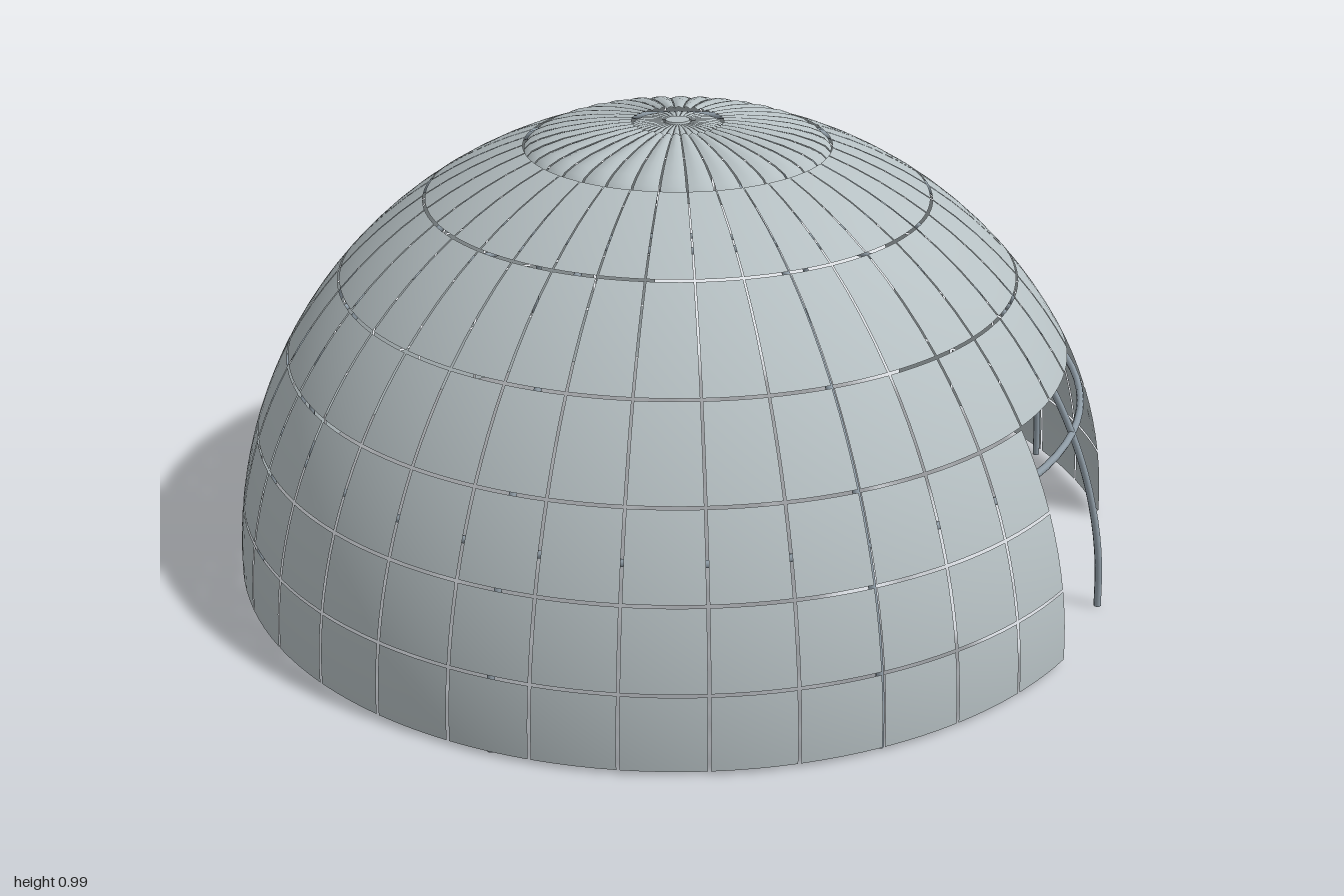
import * as THREE from 'three';
import { mergeGeometries } from 'three/addons/utils/BufferGeometryUtils.js';

const DEG = Math.PI / 180;
const COUNT = 36;      // panels around the dome
const GAP = 0.006;     // open seam between panels, in radians
const FRAME_R = 0.985; // radius of the supporting frame

export function createModel() {
  const model = new THREE.Group();
  const panelMat = new THREE.MeshStandardMaterial({ color: 0xb6c0c3, side: THREE.DoubleSide });
  panelMat.name = 'pale grey panel';
  const frameMat = new THREE.MeshStandardMaterial({ color: 0x8f9ca6 });
  frameMat.name = 'blue grey frame';

  const add = (name, geometry, material) => {
    const mesh = new THREE.Mesh(geometry, material);
    mesh.name = name;
    model.add(mesh);
    return mesh;
  };

  // Azimuth runs from the front (+z) towards the model's left (+x)
  const inOpening = (deg) => (deg >= 30 && deg < 70) || (deg >= 120 && deg < 160);

  // Curved shell panels, one mesh per horizontal band
  const heights = [0.008, 1 / 6, 1 / 3, 1 / 2, 2 / 3, 5 / 6, 0.943];
  for (let b = 0; b < heights.length - 1; b++) {
    const top = Math.acos(heights[b + 1]) + GAP / 2;
    const bottom = Math.acos(heights[b]) - (b ? GAP / 2 : 0);
    const panels = [];
    for (let i = 0; i < COUNT; i++) {
      const deg = i * 10;
      if (b < 3 && inOpening(deg)) continue;
      panels.push(new THREE.SphereGeometry(1, 4, 4,
        (deg + 90) * DEG + GAP / 2, 10 * DEG - GAP, top, bottom - top));
    }
    add('panelBand' + (b + 1), mergeGeometries(panels), panelMat);
  }

  // Petals of the crown, each slightly puffed between its seams
  function petals(name, profile, puff) {
    const points = profile.map(([r, y]) => new THREE.Vector2(r, y));
    const list = [];
    for (let i = 0; i < COUNT; i++) {
      const start = i * 10 * DEG + GAP;
      const length = 10 * DEG - 2 * GAP;
      const g = new THREE.LatheGeometry(points, 4, start, length);
      const p = g.attributes.position;
      for (let k = 0; k < p.count; k++) {
        const across = Math.floor(k / points.length) / 4;
        p.setY(k, p.getY(k) + puff * (Math.sin(across * Math.PI) - 1));
      }
      g.computeVertexNormals();
      list.push(g);
    }
    add(name, mergeGeometries(list), panelMat);
  }
  petals('crownPetals', [[0.333, 0.937], [0.32, 0.95], [0.295, 0.961], [0.25, 0.974],
    [0.19, 0.985], [0.14, 0.991], [0.1, 0.993]], 0.005);
  petals('hubPetals', [[0.098, 0.982], [0.085, 0.988], [0.06, 0.991], [0.03, 0.991]], 0.002);

  // Round button closing the crown
  const button = add('crownButton', new THREE.CylinderGeometry(0.026, 0.03, 0.012, 24), panelMat);
  button.position.y = 0.988;

  // Eight curved ribs behind the panels
  for (let i = 0; i < 8; i++) {
    const points = [];
    for (let k = 0; k <= 12; k++) {
      const lat = k * 6 * DEG;
      points.push(new THREE.Vector3(0, FRAME_R * Math.sin(lat), FRAME_R * Math.cos(lat)));
    }
    const curve = new THREE.CatmullRomCurve3(points);
    const rib = add('rib' + (i + 1), new THREE.TubeGeometry(curve, 36, 0.008, 8), frameMat);
    rib.rotation.y = i * 45 * DEG;
  }

  // Horizontal hoops tying the ribs together
  for (const [name, y] of [['lowerHoop', 0.4], ['upperHoop', 0.865]]) {
    const r = Math.sqrt(FRAME_R * FRAME_R - y * y);
    const hoop = add(name, new THREE.TorusGeometry(r, 0.008, 8, 96), frameMat);
    hoop.rotation.x = Math.PI / 2;
    hoop.position.y = y;
  }

  return model;
}
